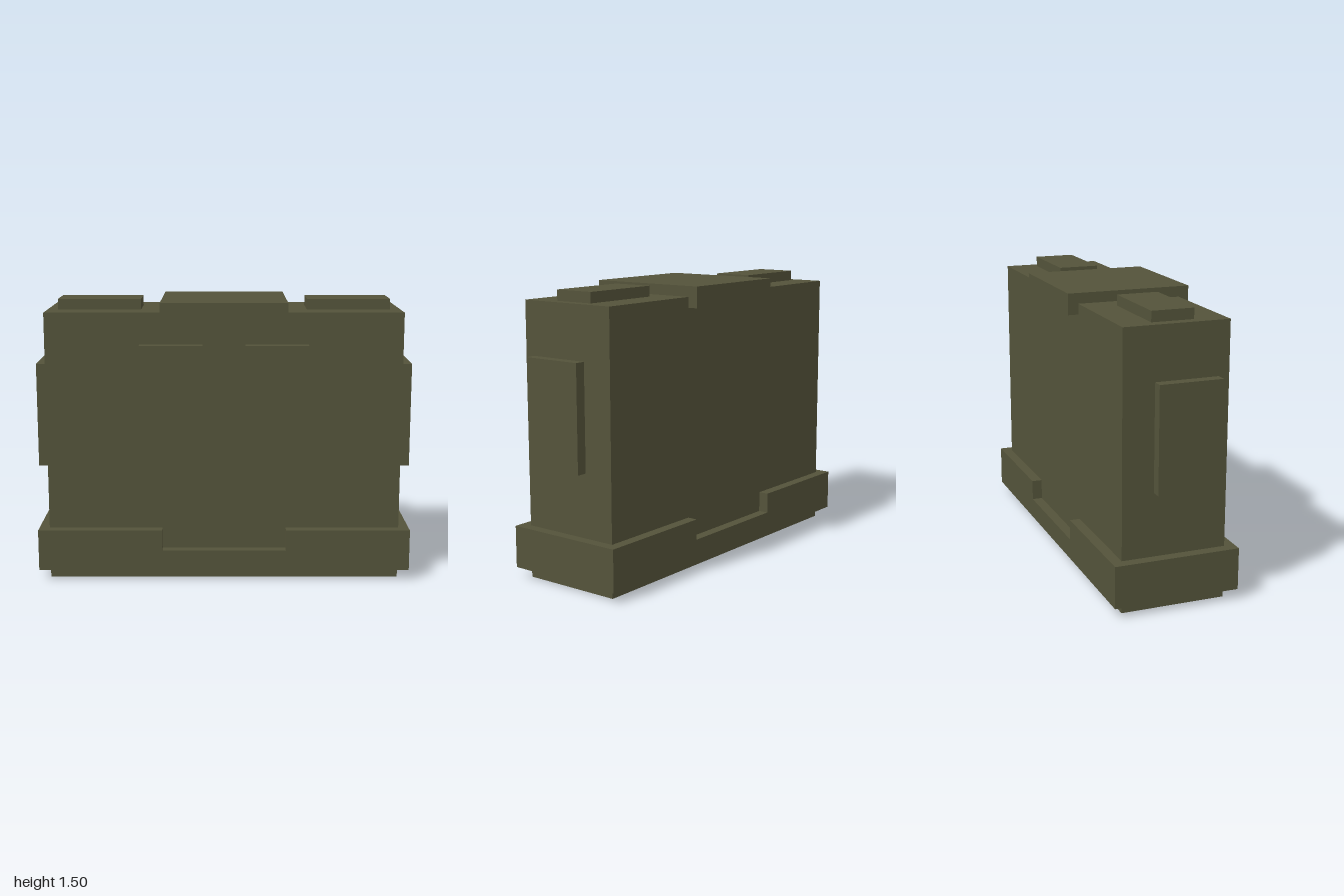
import * as THREE from 'three';

export function createModel() {
  const U = 1 / 18; // one voxel step
  const olive = new THREE.MeshStandardMaterial({ color: 0x54533a });
  olive.name = 'olive';
  const model = new THREE.Group();
  model.name = 'pouch';

  const add = (name, geometry) => {
    const mesh = new THREE.Mesh(geometry, olive);
    mesh.name = name;
    model.add(mesh);
  };

  // Box given by its limits in voxel steps
  const box = (name, x0, x1, y0, y1, z0, z1) => add(name,
    new THREE.BoxGeometry((x1 - x0) * U, (y1 - y0) * U, (z1 - z0) * U)
      .translate((x0 + x1) / 2 * U, (y0 + y1) / 2 * U, (z0 + z1) / 2 * U));

  // Symmetric outline (right half, bottom to top) extruded from z0 to z1
  const plate = (name, half, z0, z1) => {
    const mirrored = half.map(([x, y]) => [-x, y]).reverse();
    const points = [...half, ...mirrored].map(([x, y]) => new THREE.Vector2(x * U, y * U));
    add(name, new THREE.ExtrudeGeometry(new THREE.Shape(points),
      { depth: (z1 - z0) * U, bevelEnabled: false }).translate(0, 0, z0 * U));
  };

  // Main body
  box('body', -17, 17, 0, 26, -5, 5);

  // Band round the base, notched in the middle of front and back
  plate('baseBand', [[18, 1], [18, 5], [6, 5], [6, 3]], -6, 6);

  // Flap over the top, with the strap and buckle plate below it
  box('topFlap', -6, 6, 25, 27, -6, 6);
  plate('frontBuckle', [[2, 9], [2, 13], [8, 13], [8, 23], [2, 23], [2, 25]], 5, 6);

  // Raised pads on the top and the sides
  for (const s of [-1, 1]) {
    const side = s > 0 ? 'left' : 'right';
    box(side + 'TopPad', s * 12 - 4, s * 12 + 4, 26, 27, -2, 2);
    box(side + 'SidePad', s * 17.5 - 0.5, s * 17.5 + 0.5, 11, 21, -2, 4);
  }
  return model;
}
